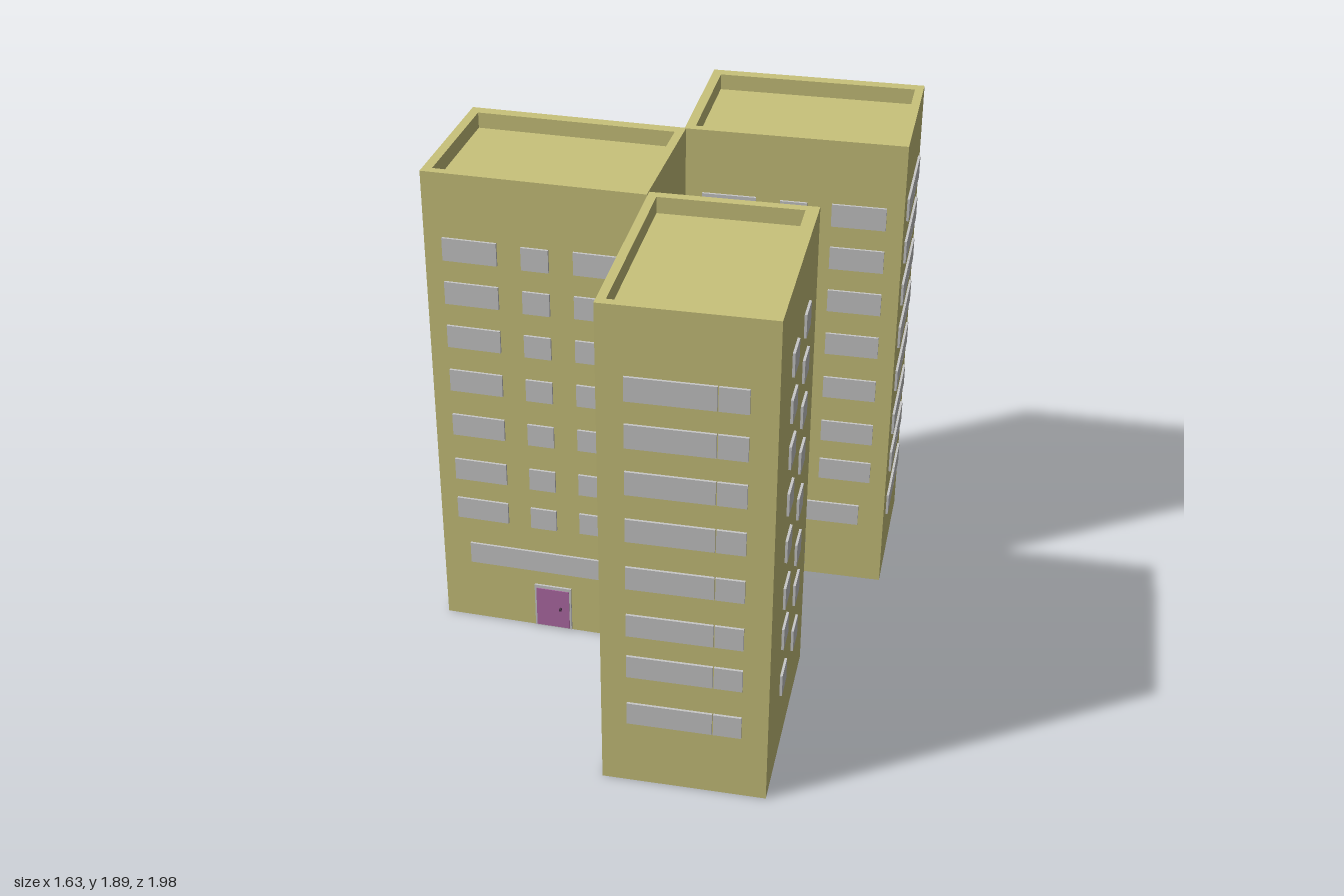
import * as THREE from 'three';

const LENGTH = 0.81, DEPTH = 0.583, HEIGHT = 1.89, ROOF = 1.83;
// Window row centres, top floor first; the last one is the first floor
const ROWS = [1.6, 1.427, 1.25, 1.067, 0.877, 0.682, 0.508, 0.305];
const UPPER = ROWS.slice(0, 7);

const material = (name, color) => {
  const m = new THREE.MeshStandardMaterial({ color });
  m.name = name;
  return m;
};

export function createModel() {
  const wallMat = material('wall yellow', 0xc9c27b);
  const glassMat = material('window grey', 0xc8c8c8);
  const doorMat = material('door purple', 0xb06ba6);
  const darkMat = material('handle dark', 0x4a3048);

  const addBox = (parent, name, mat, w, h, d, x, y, z) => {
    const mesh = new THREE.Mesh(new THREE.BoxGeometry(w, h, d), mat);
    mesh.name = name;
    mesh.position.set(x, y, z);
    parent.add(mesh);
  };

  // One thin window per row, at u along the facade
  const windows = (facade, rows, u, w) => {
    for (const y of rows) addBox(facade, 'window', glassMat, w, 0.088, 0.009, u, y, 0.0055);
  };

  // Long window made of two panes meeting at u = split
  const splitWindows = (facade, rows, split) => {
    const gap = 0.002, half = 0.2;
    windows(facade, rows, (split - half) / 2 - gap / 2, split + half - gap);
    windows(facade, rows, (split + half) / 2 + gap / 2, half - split - gap);
  };

  // Facade group: its z = 0 plane lies on a wall and faces outward
  const makeFacade = (wing, name, angle, distance) => {
    const facade = new THREE.Group();
    facade.name = name;
    facade.rotation.y = angle;
    facade.position.set(Math.sin(angle) * distance, 0, Math.cos(angle) * distance);
    wing.add(facade);
    return facade;
  };

  // Ring-shaped parapet around the sunken roof
  const outline = (x0, x1, y0, y1) => [[x0, y0], [x1, y0], [x1, y1], [x0, y1]].map(p => new THREE.Vector2(...p));
  const ring = new THREE.Shape(outline(-LENGTH / 2, LENGTH / 2, -DEPTH / 2, DEPTH / 2));
  ring.holes.push(new THREE.Path(outline(-LENGTH / 2 + 0.035, LENGTH / 2 - 0.032,
    -DEPTH / 2 + 0.032, DEPTH / 2 - 0.045).reverse()));
  const parapetGeo = new THREE.ExtrudeGeometry(ring, { depth: HEIGHT - ROOF, bevelEnabled: false });
  parapetGeo.rotateX(-Math.PI / 2).translate(0, ROOF, 0);

  const makeWing = (name, x, z, angle, { back, backRows, split, inner }) => {
    const wing = new THREE.Group();
    wing.name = name;
    wing.position.set(x, 0, z);
    wing.rotation.y = angle;
    addBox(wing, 'walls', wallMat, LENGTH, ROOF, DEPTH, 0, ROOF / 2, 0);
    const parapet = new THREE.Mesh(parapetGeo, wallMat);
    parapet.name = 'parapet';
    wing.add(parapet);

    // Entrance side with the door and a long window above it
    const front = makeFacade(wing, 'entranceSide', 0, DEPTH / 2);
    windows(front, UPPER, -0.237, 0.2);
    windows(front, UPPER.map(y => y - 0.004), 0.002, 0.1);
    windows(front, UPPER, 0.242, 0.2);
    windows(front, [0.305], 0.005, 0.6);
    addBox(front, 'doorFrame', glassMat, 0.145, 0.19, 0.008, 0.028, 0.1, 0.005);
    addBox(front, 'door', doorMat, 0.13, 0.172, 0.008, 0.028, 0.096, 0.008);
    addBox(front, 'doorHandle', darkMat, 0.008, 0.008, 0.014, 0.06, 0.1, 0.018);

    // Rear columns of small windows
    const rear = makeFacade(wing, 'rearSide', Math.PI, DEPTH / 2);
    for (const u of back) windows(rear, backRows, u, 0.105);

    // The two short ends
    const right = makeFacade(wing, 'rightEnd', Math.PI / 2, LENGTH / 2);
    const left = makeFacade(wing, 'leftEnd', -Math.PI / 2, LENGTH / 2);
    if (inner) {
      splitWindows(right, ROWS, split);
      windows(left, UPPER, -0.06, 0.21);
      windows(left, UPPER, 0.19, 0.1);
      windows(left, [0.305], 0.02, 0.4);
    } else {
      windows(right, ROWS, -0.01, 0.4);
      splitWindows(left, ROWS, split);
    }
    return wing;
  };

  const model = new THREE.Group();
  model.name = 'apartmentBuilding';
  model.add(
    makeWing('sideWing', -0.405, -0.09, 0,
      { back: [0.255, -0.015, -0.295], backRows: UPPER, split: 0, inner: false }),
    makeWing('backWing', 0.39, -0.682, 0.035,
      { back: [0.185, -0.1], backRows: UPPER, split: 0, inner: true }),
    makeWing('frontWing', 0.308, 0.572, -Math.PI / 2 + 0.035,
      { back: [0.152, -0.108], backRows: ROWS, split: 0.1, inner: true }),
  );
  return model;
}
